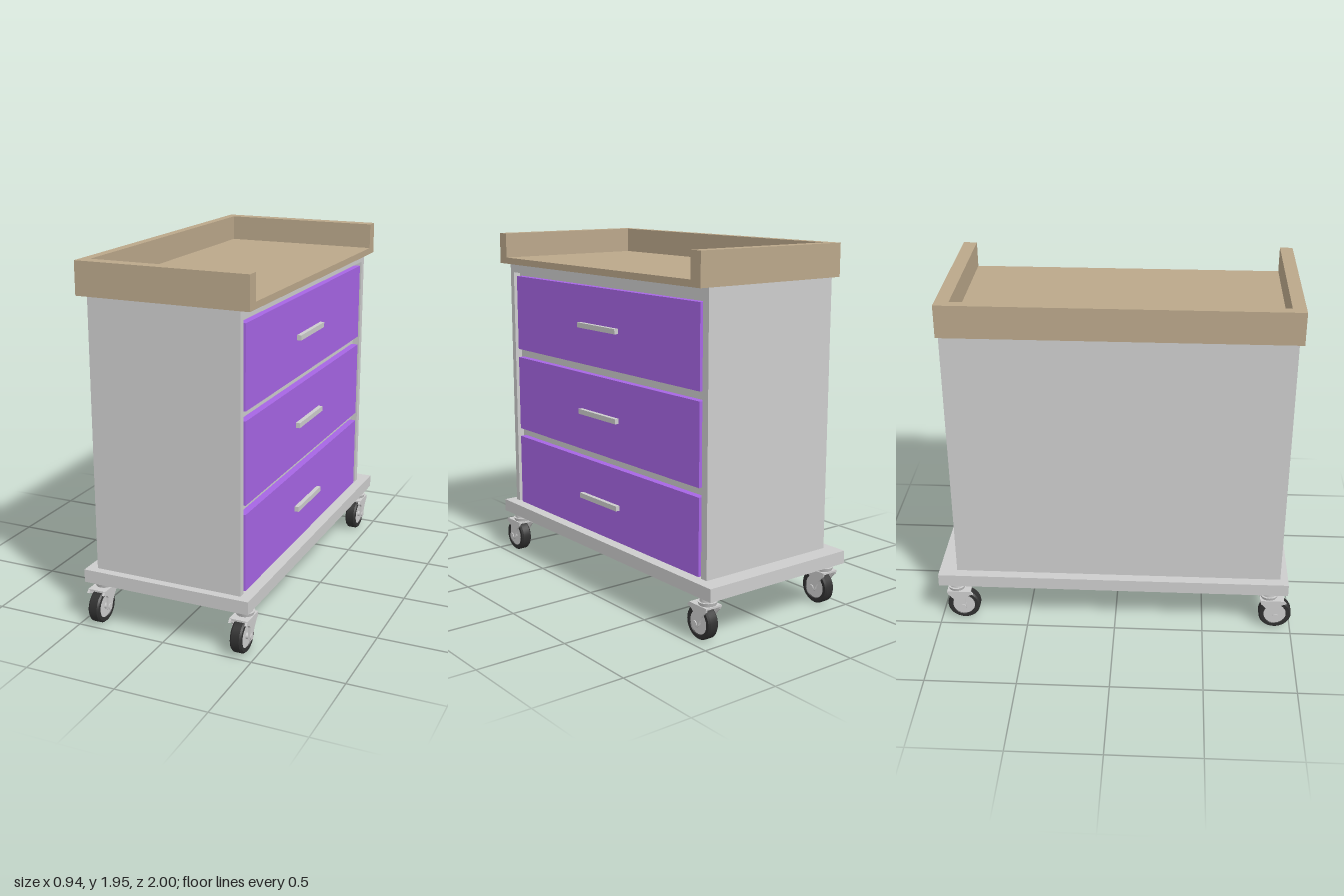
import * as THREE from 'three';
import { toCreasedNormals } from 'three/addons/utils/BufferGeometryUtils.js';

const material = (name, color) => {
  const m = new THREE.MeshStandardMaterial({ color });
  m.name = name;
  return m;
};

export function createModel() {
  const grey = material('light grey metal', 0xcccccc);
  const purple = material('purple drawer', 0xa665e4);
  const tan = material('tan tray', 0xbaa78a);
  const black = material('black rubber', 0x303030);

  const root = new THREE.Group();
  root.name = 'drawerTrolley';

  const add = (parent, name, geometry, mat) => {
    const mesh = new THREE.Mesh(geometry, mat);
    mesh.name = name;
    parent.add(mesh);
    return mesh;
  };
  // Box given by its limits on each axis
  const box = (parent, name, mat, [x0, x1], [y0, y1], [z0, z1]) => {
    const mesh = add(parent, name, new THREE.BoxGeometry(x1 - x0, y1 - y0, z1 - z0), mat);
    mesh.position.set((x0 + x1) / 2, (y0 + y1) / 2, (z0 + z1) / 2);
    return mesh;
  };

  // Base plate
  box(root, 'basePlate', grey, [-0.473, 0.47], [0.242, 0.313], [-1, 0.974]);

  // Cabinet with an open frame around the drawers
  const cabinet = new THREE.Group();
  cabinet.name = 'cabinet';
  root.add(cabinet);
  box(cabinet, 'cabinetBody', grey, [-0.417, 0.37], [0.313, 1.777], [-0.9, 0.93]);
  box(cabinet, 'frameSideBack', grey, [0.37, 0.411], [0.313, 1.777], [-0.9, -0.857]);
  box(cabinet, 'frameSideFront', grey, [0.37, 0.411], [0.313, 1.777], [0.895, 0.93]);
  box(cabinet, 'frameTop', grey, [0.37, 0.411], [1.723, 1.777], [-0.857, 0.895]);

  // Drawers and handles
  for (const [bottom, top, handleY] of [[0.314, 0.729, 0.513], [0.778, 1.216, 0.999], [1.266, 1.702, 1.485]]) {
    const drawer = new THREE.Group();
    drawer.name = 'drawer';
    root.add(drawer);
    box(drawer, 'drawerFront', purple, [0.37, 0.409], [bottom, top], [-0.834, 0.865]);
    box(drawer, 'drawerHandle', grey, [0.409, 0.433], [handleY - 0.014, handleY + 0.014], [-0.157, 0.193]);
  }

  // Tray top, open on the drawer side
  const tray = new THREE.Group();
  tray.name = 'trayTop';
  root.add(tray);
  box(tray, 'trayFloor', tan, [-0.471, 0.467], [1.777, 1.813], [-0.904, 0.95]);
  box(tray, 'trayLongWall', tan, [-0.471, -0.42], [1.813, 1.953], [-0.904, 0.95]);
  box(tray, 'trayEndWallBack', tan, [-0.42, 0.467], [1.813, 1.953], [-0.904, -0.83]);
  box(tray, 'trayEndWallFront', tan, [-0.42, 0.467], [1.813, 1.953], [0.88, 0.95]);

  // Caster geometries, centred on the wheel axle
  const profile = [[0.062, -0.024], [0.066, -0.031], [0.084, -0.031], [0.092, -0.022],
    [0.092, 0.022], [0.084, 0.031], [0.066, 0.031], [0.062, 0.024]];
  const tireGeometry = toCreasedNormals(
    new THREE.LatheGeometry(profile.map(([r, y]) => new THREE.Vector2(r, y)), 32).rotateZ(Math.PI / 2), 0.5);
  const hubGeometry = new THREE.CylinderGeometry(0.064, 0.064, 0.052, 28).rotateZ(Math.PI / 2);
  const axleGeometry = new THREE.CylinderGeometry(0.017, 0.017, 0.112, 16).rotateZ(Math.PI / 2);
  const stemGeometry = new THREE.CylinderGeometry(0.041, 0.041, 0.06, 20);
  const collarGeometry = new THREE.CylinderGeometry(0.052, 0.045, 0.02, 20);

  // Fork cheek outline: x is forward, y is up
  const cheek = new THREE.Shape();
  cheek.moveTo(0.06, 0.085);
  cheek.lineTo(0.048, 0.1);
  cheek.lineTo(-0.088, 0.1);
  cheek.lineTo(-0.082, 0.08);
  cheek.quadraticCurveTo(-0.045, 0.05, -0.022, -0.01);
  cheek.quadraticCurveTo(-0.005, -0.035, 0.018, -0.014);
  cheek.lineTo(0.012, 0.055);
  cheek.quadraticCurveTo(0.025, 0.078, 0.06, 0.085);
  const cheekGeometry = new THREE.ExtrudeGeometry(cheek, { depth: 0.012, bevelEnabled: false, curveSegments: 6 })
    .translate(0, 0, -0.006).rotateY(-Math.PI / 2);

  for (const x of [-0.413, 0.411]) {
    for (const z of [-0.871, 0.911]) {
      const caster = new THREE.Group();
      caster.name = 'caster';
      caster.position.set(x, 0.092, z);
      root.add(caster);
      add(caster, 'tire', tireGeometry, black);
      add(caster, 'wheelHub', hubGeometry, grey);
      add(caster, 'axle', axleGeometry, grey);
      for (const side of [-1, 1]) add(caster, 'forkCheek', cheekGeometry, grey).position.x = side * 0.045;
      box(caster, 'forkCrown', grey, [-0.051, 0.051], [0.093, 0.103], [-0.088, 0.046]);
      add(caster, 'swivelCollar', collarGeometry, grey).position.set(0, 0.112, -0.038);
      add(caster, 'swivelStem', stemGeometry, grey).position.set(0, 0.125, -0.038);
    }
  }
  return root;
}
